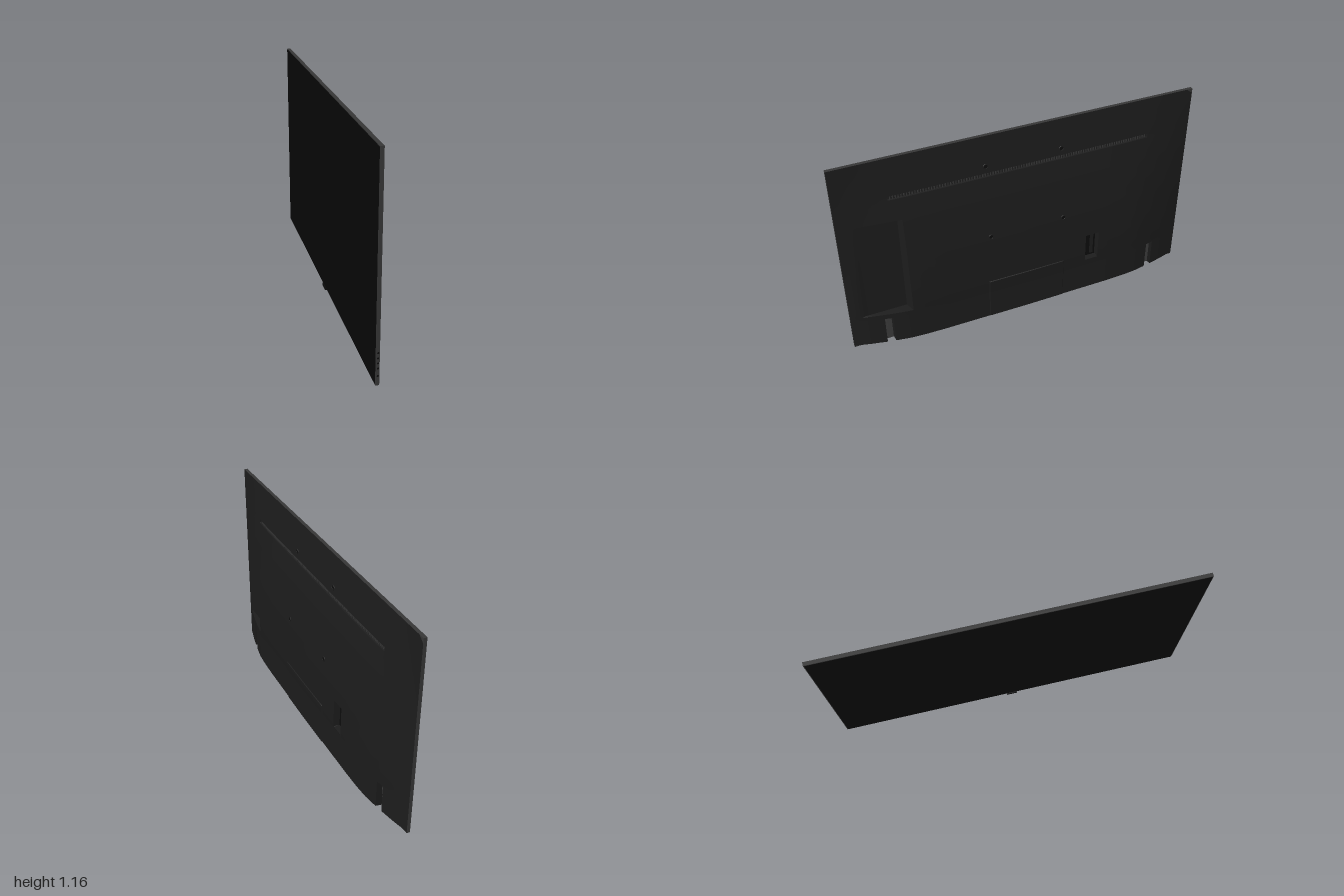
import * as THREE from 'three';
import { mergeGeometries, toCreasedNormals } from 'three/addons/utils/BufferGeometryUtils.js';

const material = (color) => new THREE.MeshStandardMaterial({ color });
const BASE = -0.03, DEPTH = 0.082, TOP = 1.157, BOTTOM = 0.012;

// piecewise curve through [position, value] pairs
function curve(points, t) {
  for (let i = 1; i < points.length; i++) {
    const [a, va] = points[i - 1], [b, vb] = points[i];
    if (t <= b) return va + (vb - va) * Math.max(0, (t - a) / (b - a));
  }
  return points[points.length - 1][1];
}

// bulge of the rear shell, over height and over distance from the middle
const RISE = [[0.012, 0], [0.02, 0.95], [0.2, 0.95], [0.27, 0.98], [0.35, 0.98], [0.46, 0.93], [0.57, 0.86],
  [0.69, 0.73], [0.8, 0.58], [0.94, 0.32], [1.05, 0.15], [TOP, 0]];
const SPREAD = [[0, 1], [0.5, 0.96], [0.62, 0.92], [0.7, 0.84], [0.8, 0.62], [0.9, 0.34], [1, 0]];

// pockets sunk into the shell: z range, y range, floor x or depth below the surface
const POCKETS = [
  { z: [0.67, 0.935], y: [0.22, 0.81], floor: -0.016, slope: 0.02 },
  { z: [-0.435, -0.355], y: [0.23, 0.405], floor: 0.012, slope: 0.003 },
  { z: [0.78, 0.825], y: [0, 0.19], floor: -0.015, slope: 0.003 },
  { z: [-0.825, -0.78], y: [0, 0.19], floor: -0.015, slope: 0.003 },
  { z: [-0.73, 0.73], y: [0.93, 0.952], sink: 0.009, slope: 0.002 },
];
const PANEL = { z: [-0.22, 0.235], y: [0.02, 0.275], slope: 0.004 };

// how far inside a rectangle a point is, 0 at the edge and 1 past its wall
function inside({ z: [z0, z1], y: [y0, y1], slope }, z, y) {
  const wall = (d, s) => THREE.MathUtils.clamp(d / s, 0, 1);
  return Math.min(wall(z - z0, slope), wall(z1 - z, slope), wall(y - y0, 0.002), wall(y1 - y, 0.002));
}

function shellX(z, y) {
  return BASE + DEPTH * curve(RISE, y) * curve(SPREAD, Math.abs(z));
}

function surfaceX(z, y) {
  let x = shellX(z, y);
  if (y > BOTTOM) x += 0.004 * inside(PANEL, z, y);
  for (const p of POCKETS) {
    const floor = p.sink ? x - p.sink : Math.min(x, p.floor);
    x = THREE.MathUtils.lerp(x, floor, inside(p, z, y));
  }
  return Math.max(x, BASE);
}

// grid lines: even steps plus lines on both sides of every pocket wall
function gridLines(from, to, steps, axis) {
  const lines = [];
  for (let i = 0; i <= steps; i++) lines.push(from + ((to - from) * i) / steps);
  if (axis === 'y') lines.push(0.02);
  for (const p of [...POCKETS, PANEL]) {
    const w = axis === 'z' ? p.slope : 0.002;
    lines.push(p[axis][0], p[axis][0] + w, p[axis][1] - w, p[axis][1]);
  }
  return lines.filter((v) => v >= from && v <= to).sort((a, b) => a - b)
    .filter((v, i, all) => i === 0 || v - all[i - 1] > 1e-5);
}

function rearShellGeometry() {
  const zs = gridLines(-1, 1, 60, 'z'), ys = gridLines(BOTTOM, TOP, 44, 'y');
  const positions = [], index = [];
  for (const z of zs) for (const y of ys) positions.push(surfaceX(z, y), y, z);
  const n = ys.length;
  for (let i = 0; i < zs.length - 1; i++) {
    for (let j = 0; j < n - 1; j++) {
      const a = i * n + j, d = a + n;
      index.push(a, a + 1, d + 1, a, d + 1, d);
    }
  }
  const g = new THREE.BufferGeometry();
  g.setAttribute('position', new THREE.Float32BufferAttribute(positions, 3));
  g.setIndex(index);
  return toCreasedNormals(g, 0.5);
}

export function createModel() {
  const group = new THREE.Group();
  const frameMat = material(0x363636), shellMat = material(0x1c1c1c);
  const darkMat = material(0x0c0c0c), slotMat = material(0x3c3c3c);
  shellMat.side = THREE.DoubleSide;

  const add = (name, geometry, mat, x = 0, y = 0, z = 0) => {
    const mesh = new THREE.Mesh(geometry, mat);
    mesh.name = name;
    mesh.position.set(x, y, z);
    group.add(mesh);
    return mesh;
  };
  const box = (name, mat, sx, sy, sz, x, y, z) => add(name, new THREE.BoxGeometry(sx, sy, sz), mat, x, y, z);

  // thin frame with the display on its -x side
  const height = TOP - 0.01;
  box('frame', frameMat, 0.019, height, 2, -0.0395, 0.01 + height / 2, 0);
  box('screen', material(0x080808), 0.002, height - 0.008, 1.992, -0.0495, 0.01 + height / 2, 0);

  // curved rear cover
  add('rearShell', rearShellGeometry(), shellMat);

  // row of ribs in the long vent groove
  const ribs = [];
  for (let z = -0.715; z < 0.72; z += 0.0143) {
    const rib = new THREE.BoxGeometry(0.006, 0.018, 0.005);
    rib.translate(shellX(z, 0.941) - 0.007, 0.941, z);
    ribs.push(rib);
  }
  add('ventRibs', mergeGeometries(ribs), frameMat);

  // four wall mount holes with raised rims
  for (const y of [0.575, 0.99]) {
    for (const z of [-0.212, 0.212]) {
      const x = shellX(z, y);
      const lean = Math.atan2(shellX(z, y - 0.02) - shellX(z, y + 0.02), 0.04);
      const rim = add('mountRim', new THREE.TorusGeometry(0.012, 0.0025, 8, 24), shellMat, x, y, z);
      rim.rotation.set(0, Math.PI / 2, lean, 'ZYX');
      const hole = add('mountHole', new THREE.CylinderGeometry(0.011, 0.011, 0.003, 20), darkMat, x, y, z);
      hole.rotation.z = Math.PI / 2 + lean;
    }
  }

  // connector block inside the small pocket
  box('connectorPlate', darkMat, 0.003, 0.168, 0.072, 0.0125, 0.3175, -0.395);
  box('connectorStrip', shellMat, 0.006, 0.14, 0.02, 0.015, 0.3175, -0.408);

  // pale plates in the two leg slots
  for (const side of [-1, 1]) {
    box('legSlotPlate', slotMat, 0.003, 0.168, 0.038, -0.014, 0.104, side * 0.8025);
    box('legSlotStop', slotMat, 0.01, 0.08, 0.02, -0.009, 0.145, side * 0.8025);
  }

  // lower edge: dark vents and the small sensor
  for (const side of [-1, 1]) box('lowerVent', darkMat, 0.02, 0.004, 0.42, 0.01, 0.0155, side * 0.3);
  box('sensor', darkMat, 0.022, 0.018, 0.062, -0.044, 0.009, 0);

  // holes along the left edge of the frame
  for (const y of [0.06, 0.1, 0.127, 0.153, 0.18]) {
    const hole = add('edgeHole', new THREE.CylinderGeometry(0.005, 0.005, 0.002, 16), darkMat, -0.038, y, 0.9995);
    hole.rotation.x = Math.PI / 2;
  }
  return group;
}
